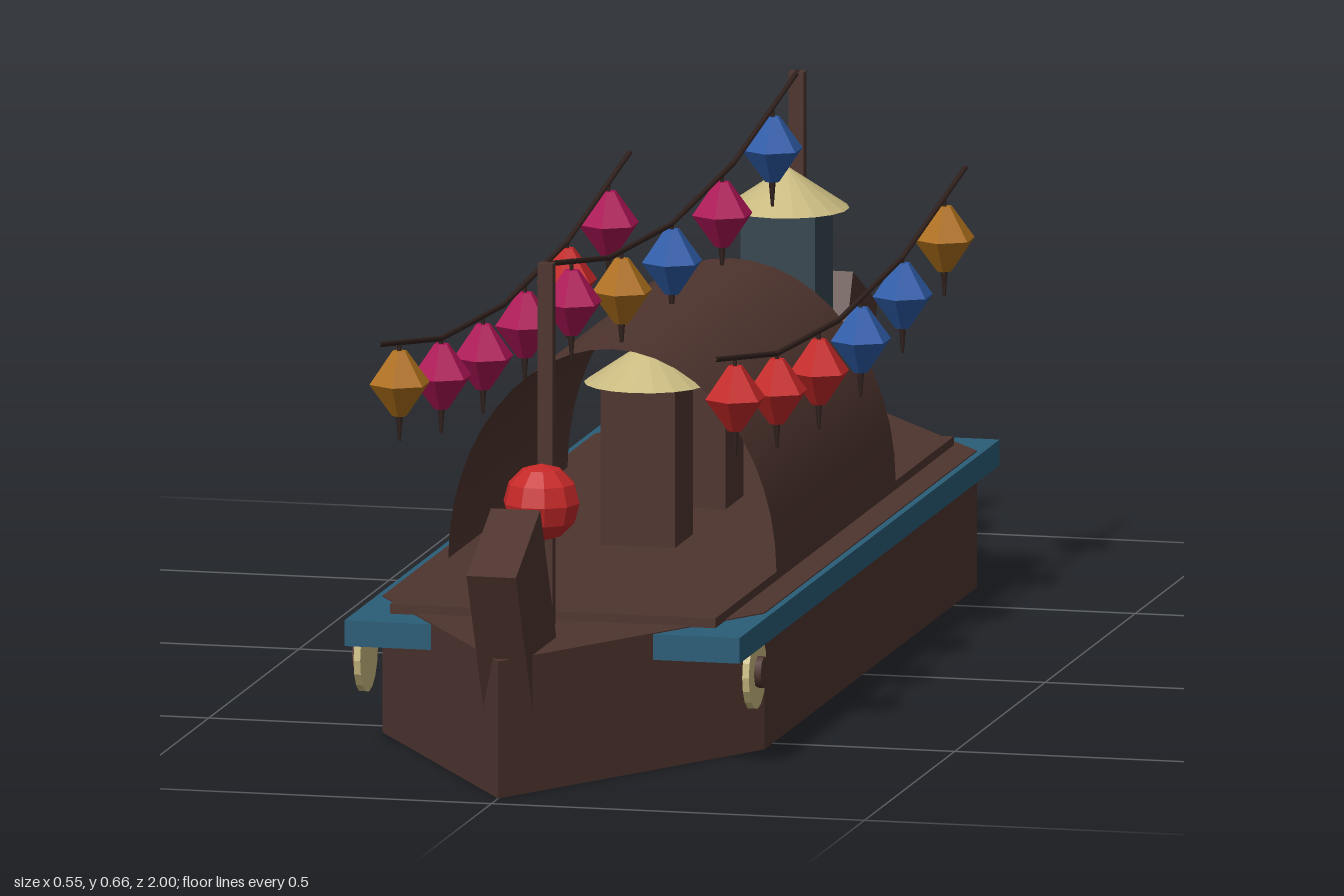
import * as THREE from 'three';

const mat = (name, color, opts = {}) => {
  const m = new THREE.MeshStandardMaterial({ color, ...opts });
  m.name = name;
  return m;
};

export function createModel() {
  const boat = new THREE.Group();
  boat.name = 'lanternBoat';
  const flat = { flatShading: true };
  const wood = mat('darkWood', 0x4e342e, { side: THREE.DoubleSide });
  const railBlue = mat('railBlue', 0x2a5d78);
  const slate = mat('slateCloth', 0x37474f);
  const straw = mat('straw', 0xc8b97f, { ...flat, side: THREE.DoubleSide });
  const cord = mat('cord', 0x33231f);
  const red = mat('lanternRed', 0xc62828, flat);
  const pink = mat('lanternPink', 0xad1457, flat);
  const amber = mat('lanternAmber', 0xae701c, flat);
  const blue = mat('lanternBlue', 0x2e5ca8, flat);

  const add = (name, geo, material, x = 0, y = 0, z = 0, parent = boat) => {
    const m = new THREE.Mesh(geo, material);
    m.name = name;
    m.position.set(x, y, z);
    parent.add(m);
    return m;
  };
  const box = (name, w, h, d, material, x, y, z) =>
    add(name, new THREE.BoxGeometry(w, h, d), material, x, y, z);

  // Hull: pointed plan pulled straight up (shape y becomes -z)
  const plan = new THREE.Shape([
    [0, -0.963], [0.256, -0.545], [0.256, 0.63], [0, 0.963], [-0.256, 0.63], [-0.256, -0.545],
  ].map(([x, y]) => new THREE.Vector2(x, y)));
  const hull = new THREE.ExtrudeGeometry(plan, { depth: 0.1815, bevelEnabled: false });
  hull.rotateX(-Math.PI / 2);
  add('hull', hull, wood);

  // Rail slab and deck
  box('rail', 0.53, 0.034, 1.44, railBlue, 0, 0.163, 0);
  box('deck', 0.436, 0.013, 1.32, wood, 0, 0.1865, 0);

  // Barrel roof, open at both ends
  const roof = new THREE.CylinderGeometry(1, 1, 0.66, 24, 1, true, -Math.PI / 2, Math.PI);
  roof.rotateX(-Math.PI / 2);
  roof.scale(0.22, 0.287, 1);
  // keep the arch above the deck
  roof.computeBoundingBox();
  if (roof.boundingBox.min.y < -0.1) roof.rotateZ(Math.PI);
  add('cabinRoof', roof, wood, 0, 0.193, 0);

  // Leaning stem posts, bow and stern; masts
  for (const s of [1, -1]) {
    const end = s > 0 ? 'bow' : 'stern';
    const stem = box(end + 'Post', 0.066, 0.26, 0.15, wood, 0, 0.216, s * 0.877);
    stem.rotation.x = s * 0.449;
    box(end + 'Mast', 0.02, 0.48, 0.018, wood, 0, 0.421, s * 0.695);
  }

  // Round bow eyes on each side
  for (const s of [1, -1]) {
    const disc = add('bowEye', new THREE.CylinderGeometry(0.049, 0.049, 0.009, 16), straw, s * 0.2605, 0.117, 0.62);
    const hub = add('bowEyePupil', new THREE.CylinderGeometry(0.021, 0.021, 0.012, 8), wood, s * 0.268, 0.117, 0.62);
    disc.rotation.z = hub.rotation.z = Math.PI / 2;
  }

  // Simple figures: block body and conical straw hat
  const figure = (name, z, top, cloth) => {
    box(name + 'Body', 0.1, top - 0.19, 0.1, cloth, 0, (top + 0.19) / 2, z);
    add(name + 'Hat', new THREE.ConeGeometry(0.082, 0.055, 18), straw, 0, top + 0.0275, z);
  };
  figure('boatman', -0.635, 0.492, slate);
  figure('frontPassenger', 0.14, 0.402, wood);
  figure('rearPassenger', -0.14, 0.402, wood);

  // Lantern with cord and tassel
  const body = new THREE.LatheGeometry(
    [[0, -0.043], [0.01, -0.043], [0.041, 0], [0.01, 0.043], [0, 0.043]].map(([r, y]) => new THREE.Vector2(r, y)), 6);
  const lantern = (color, x, y, z) => {
    const g = new THREE.Group();
    g.name = 'lantern';
    g.position.set(x, y, z);
    add('lanternBody', body, color, 0, 0, 0, g);
    add('lanternCord', new THREE.CylinderGeometry(0.003, 0.003, 0.012, 5), cord, 0, 0.046, 0, g);
    add('tassel', new THREE.CylinderGeometry(0.005, 0.002, 0.034, 5), cord, 0, -0.059, 0, g);
    boat.add(g);
  };

  // Sagging strings, each with evenly spaced lanterns from stern to bow
  const half = 0.695;
  const garland = (x, top, colors) => {
    const sag = (z) => top - 0.074 * (1 - (z / half) ** 2);
    const path = new THREE.CurvePath();
    const pts = [-1, -0.5, 0, 0.5, 1].map((t) => new THREE.Vector3(x, sag(t * half), t * half));
    for (let i = 0; i < 4; i++) path.add(new THREE.LineCurve3(pts[i], pts[i + 1]));
    add('lanternString', new THREE.TubeGeometry(path, 16, 0.0038, 5), cord);
    colors.forEach((c, i) => {
      const z = ((i + 0.5) / colors.length * 2 - 1) * half;
      lantern(c, x, sag(z) - 0.05, z);
    });
  };
  garland(0, 0.66, [blue, pink, blue, amber, pink]);
  garland(0.225, 0.543, [amber, blue, blue, red, red, red]);
  garland(-0.225, 0.543, [pink, red, pink, pink, pink, amber]);

  // Large round lantern on the bow mast
  const big = new THREE.SphereGeometry(0.051, 10, 6);
  add('bowLantern', big, red, 0, 0.349, 0.722);
  add('bowLanternTassel', new THREE.CylinderGeometry(0.005, 0.002, 0.036, 5), cord, 0, 0.283, 0.722);

  return boat;
}
